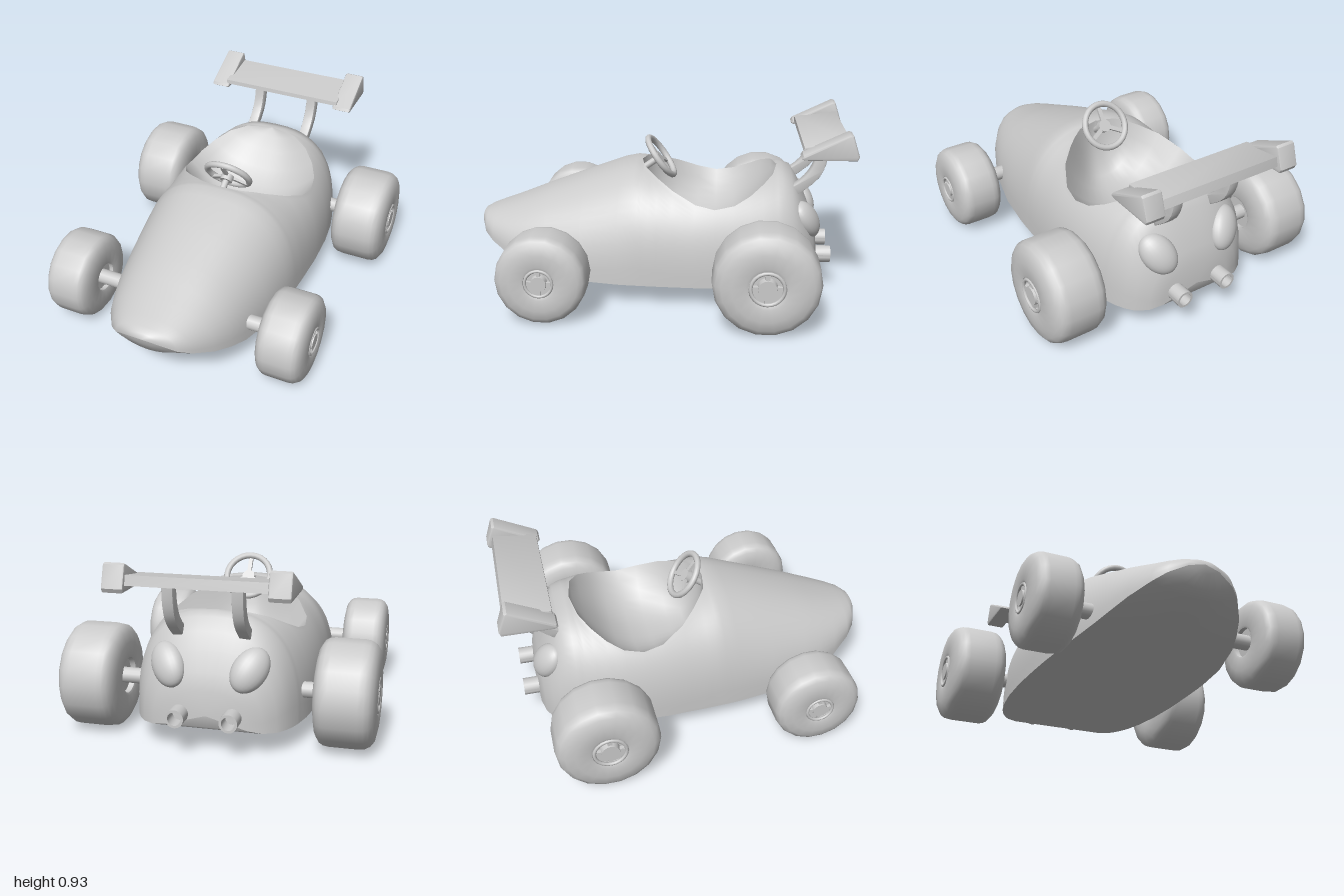
import * as THREE from 'three';
import { mergeVertices, toCreasedNormals } from 'three/addons/utils/BufferGeometryUtils.js';

const mat = new THREE.MeshStandardMaterial({ color: 0xcccccc });
const thin = new THREE.MeshStandardMaterial({ color: 0xcccccc, side: THREE.DoubleSide });

function add(parent, name, geometry, position = [0, 0, 0], material = mat) {
  const mesh = new THREE.Mesh(geometry, material);
  mesh.name = name;
  mesh.position.set(...position);
  parent.add(mesh);
  return mesh;
}

// Smooth skin over rows of points; skip(i, j) leaves a cell open
function skin(rows, skip = () => false) {
  const n = rows[0].length, index = [];
  for (let i = 0; i < rows.length - 1; i++)
    for (let j = 0; j < n - 1; j++) {
      if (skip(i, j)) continue;
      const a = i * n + j, b = a + n;
      index.push(a, b, a + 1, b, b + 1, a + 1);
    }
  let geo = new THREE.BufferGeometry();
  geo.setAttribute('position', new THREE.Float32BufferAttribute(rows.flat(2), 3));
  geo.setIndex(index);
  geo = mergeVertices(geo, 1e-4);
  geo.computeVertexNormals();
  return geo;
}

// Extrude a side outline of [z, y] points across x, centred on x = 0
function sideExtrude(points, width, bevel) {
  const geo = new THREE.ExtrudeGeometry(new THREE.Shape(points.map(p => new THREE.Vector2(...p))), {
    depth: width - 2 * bevel, bevelEnabled: true, bevelSize: bevel,
    bevelThickness: bevel, bevelOffset: -bevel, bevelSegments: 2,
  });
  geo.translate(0, 0, bevel - width / 2).rotateY(-Math.PI / 2);
  return toCreasedNormals(geo, 0.6);
}

// Smooth line of [z, y] points
const smooth = points => new THREE.SplineCurve(points.map(p => new THREE.Vector2(...p)))
  .getPoints(8).map(p => p.toArray());

// Body stations, nose to tail: z, half width, crown height, edge height, underside bulge
const BODY = [
  [0.998, 0, 0.35, 0.35, 0], [0.985, 0.08, 0.376, 0.335, 0.025], [0.95, 0.17, 0.392, 0.295, 0.05],
  [0.9, 0.225, 0.41, 0.262, 0.045], [0.8, 0.295, 0.445, 0.215, 0.03], [0.7, 0.34, 0.485, 0.178, 0.018],
  [0.6, 0.375, 0.525, 0.15, 0.01], [0.4, 0.42, 0.6, 0.125, 0], [0.2, 0.442, 0.67, 0.12, 0],
  [0.13, 0.447, 0.682, 0.12, 0], [0, 0.453, 0.665, 0.12, 0], [-0.2, 0.458, 0.685, 0.12, 0],
  [-0.4, 0.45, 0.68, 0.12, 0], [-0.55, 0.43, 0.67, 0.12, 0], [-0.65, 0.405, 0.66, 0.12, 0],
  [-0.7, 0.385, 0.645, 0.12, 0], [-0.74, 0.362, 0.58, 0.12, 0], [-0.78, 0.33, 0.5, 0.12, 0],
  [-0.82, 0.27, 0.4, 0.125, 0], [-0.84, 0.2, 0.32, 0.14, 0], [-0.85, 0, 0.2, 0.2, 0],
];
// Cockpit stations: z, opening half width, floor height
const COCKPIT = [
  [0.1, 0, 0.675], [0.08, 0.11, 0.52], [0.04, 0.17, 0.43], [0, 0.22, 0.38], [-0.08, 0.3, 0.35],
  [-0.2, 0.362, 0.34], [-0.3, 0.372, 0.35], [-0.4, 0.355, 0.39], [-0.48, 0.31, 0.46], [-0.55, 0.24, 0.54],
  [-0.6, 0.15, 0.61], [-0.625, 0, 0.66],
];

// Linear lookup in a station table
function at(table, z, col) {
  const i = Math.max(1, table.findIndex(r => r[0] <= z));
  const a = table[i - 1], b = table[i];
  return THREE.MathUtils.lerp(a[col], b[col], (a[0] - z) / (a[0] - b[0]));
}

function buildBody(car) {
  const STEPS = 14;
  const zs = [...new Set([...BODY, ...COCKPIT].map(r => r[0]))].sort((a, b) => b - a);
  const isOpen = z => z <= 0.1 && z >= -0.625;
  const shell = [], floor = [], tub = [];
  for (const z of zs) {
    const [W, H, base, bulge] = [1, 2, 3, 4].map(col => at(BODY, z, col));
    const w = isOpen(z) ? at(COCKPIT, z, 1) : 0;
    // Rounder hood, boxier cockpit sides
    const power = 2.6 - 0.35 * THREE.MathUtils.smoothstep(z, 0, 0.35);
    const end = W > 0 ? Math.acos(Math.pow(w / W, power / 2)) : Math.PI / 2;
    const half = [];
    for (let j = 0; j <= STEPS; j++) {
      const t = end * j / STEPS;
      half.push([W * Math.pow(Math.max(0, Math.cos(t)), 2 / power),
        base + (H - base) * Math.pow(Math.sin(t), 2 / power), z]);
    }
    shell.push([...half, ...half.map(([x, y]) => [-x, y, z]).reverse()]);
    floor.push([-1, -0.8, -0.5, -0.25, 0, 0.25, 0.5, 0.8, 1].map(s => [s * W, base - bulge * (1 - s * s), z]));
    // Inside of the cockpit, from rim down to the seat floor
    if (isOpen(z)) {
      const rim = half[STEPS][1], low = Math.min(rim, at(COCKPIT, z, 2)), row = [];
      for (let k = 0; k <= 16; k++) {
        const s = 1 - k / 8;
        row.push([s * w, low + (rim - low) * Math.pow(Math.abs(s), 2.6), z]);
      }
      tub.push(row);
    }
  }
  const overOpening = (i, j) => j === STEPS && isOpen(zs[i]) && isOpen(zs[i + 1]);
  add(car, 'bodyShell', skin(shell, overOpening), [0, 0, 0], thin);
  add(car, 'bodyFloor', skin(floor));
  add(car, 'cockpitTub', skin(tub), [0, 0, 0], thin);
}

// R: tyre radius, h: half width, k: rim radius
function buildWheel(car, name, side, x, y, z, R, h, k) {
  const wheel = new THREE.Group();
  wheel.name = name;
  wheel.position.set(side * x, y, z);
  wheel.rotation.z = -side * Math.PI / 2;
  car.add(wheel);
  const half = [[0, 0.78], [k, 0.78], [k, 0.97], [k * 1.15, 1], [R * 0.65, 0.99], [R * 0.84, 0.92],
    [R * 0.94, 0.8], [R * 0.985, 0.66], [R, 0.48]];
  const profile = [...half.map(([r, s]) => [r, -s * h]), ...half.reverse().map(([r, s]) => [r, s * h])];
  const tyre = new THREE.LatheGeometry(profile.map(q => new THREE.Vector2(...q)), 18);
  add(wheel, 'tyre', toCreasedNormals(tyre, 0.7));
  add(wheel, 'rimRing', new THREE.TorusGeometry(k * 0.88, k * 0.1, 8, 24).rotateX(Math.PI / 2), [0, h * 0.95, 0]);
  add(wheel, 'hub', new THREE.CylinderGeometry(k * 0.5, k * 0.55, h * 0.25, 16), [0, h * 0.88, 0]);
  for (const turn of [0, Math.PI / 2])
    add(wheel, 'rimSpoke', new THREE.BoxGeometry(k * 1.7, h * 0.14, k * 0.24), [0, h * 0.88, 0]).rotation.y = turn;
  add(car, 'axle', new THREE.CylinderGeometry(0.04, 0.04, 0.22, 14).rotateZ(Math.PI / 2), [side * (x - h - 0.02), y, z]);
}

function buildSteering(car) {
  const wheel = new THREE.Group();
  wheel.name = 'steeringWheel';
  wheel.position.set(0, 0.695, 0);
  wheel.rotation.x = 0.62;
  car.add(wheel);
  add(wheel, 'steeringRim', new THREE.TorusGeometry(0.12, 0.017, 10, 28));
  add(wheel, 'steeringHub', new THREE.CylinderGeometry(0.034, 0.034, 0.035, 14).rotateX(Math.PI / 2), [0, 0, 0.02]);
  for (let i = 0; i < 3; i++)
    add(wheel, 'steeringSpoke', new THREE.BoxGeometry(0.022, 0.115, 0.014).translate(0, 0.06, 0.01))
      .rotation.z = i * Math.PI * 2 / 3;
  add(wheel, 'steeringColumn', new THREE.CylinderGeometry(0.018, 0.018, 0.15, 12).rotateX(Math.PI / 2), [0, 0, 0.09]);
}

export function createModel() {
  const car = new THREE.Group();
  car.name = 'racingKart';
  buildBody(car);
  buildSteering(car);

  // Rear wing
  add(car, 'wingPlate', sideExtrude([[-0.735, 0.828], [-0.738, 0.85], [-0.965, 0.885], [-0.977, 0.838]], 0.7, 0.006));
  const endPlate = sideExtrude([[-0.72, 0.812], [-0.728, 0.828], [-0.95, 0.936], [-0.965, 0.93],
    [-1, 0.825], [-0.99, 0.805], [-0.735, 0.803]], 0.106, 0.01);
  const strut = sideExtrude([
    ...smooth([[-0.69, 0.59], [-0.755, 0.64], [-0.805, 0.72], [-0.825, 0.845]]),
    ...smooth([[-0.88, 0.85], [-0.872, 0.73], [-0.83, 0.635], [-0.73, 0.55]]),
  ], 0.055, 0.006);

  // Exhaust pipe, hollow at the back
  const pipe = toCreasedNormals(new THREE.LatheGeometry([[0.045, 0], [0.045, 0.14], [0.033, 0.14], [0.033, 0.05], [0, 0.05]]
    .map(q => new THREE.Vector2(...q)), 18), 0.6).rotateX(-Math.PI / 2);

  for (const side of [-1, 1]) {
    const label = side > 0 ? 'left' : 'right';
    buildWheel(car, label + 'FrontWheel', side, 0.597, 0.233, 0.55, 0.23, 0.125, 0.077);
    buildWheel(car, label + 'RearWheel', side, 0.635, 0.268, -0.56, 0.266, 0.15, 0.092);
    add(car, label + 'WingEndPlate', endPlate, [side * 0.382, 0, 0]);
    add(car, label + 'WingStrut', strut, [side * 0.165, 0, 0]);
    add(car, label + 'Exhaust', pipe, [side * 0.13, 0.2, -0.782]);
    // Domed rear lamp, leaning outward with the tail
    const lamp = add(car, label + 'RearLamp', new THREE.SphereGeometry(1, 24, 16), [side * 0.2, 0.42, -0.78]);
    lamp.scale.set(0.085, 0.118, 0.06);
    lamp.rotation.set(0.4, -side * 0.3, -side * 0.5);
  }
  return car;
}
